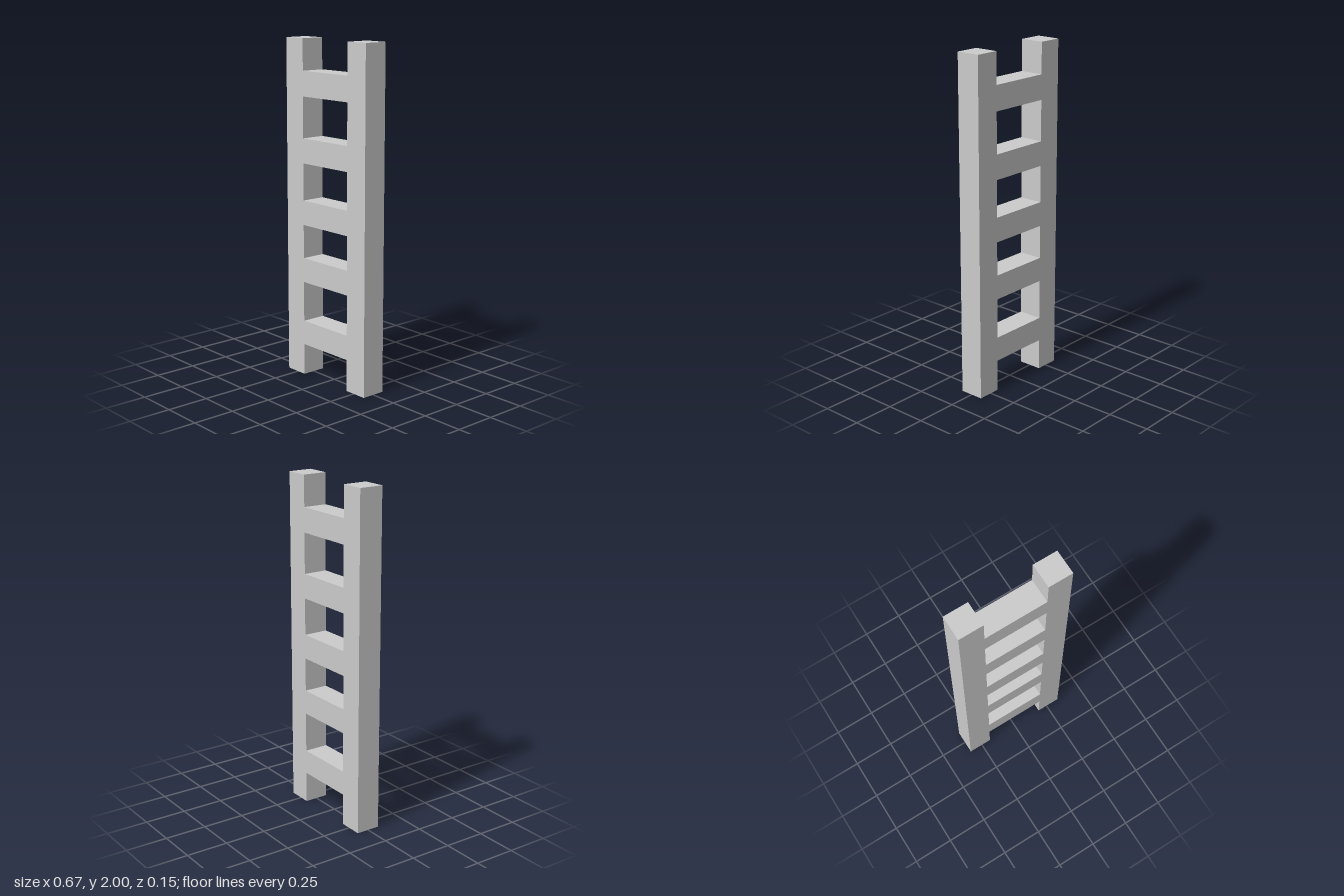
import * as THREE from 'three';

const THICK = 0.146;      // square section shared by rails and rungs
const HALF_WIDTH = 0.335;
const HEIGHT = 2;
const RUNG_HEIGHTS = [0.261, 0.646, 0.992, 1.357, 1.744];

export function createModel() {
  const ladder = new THREE.Group();
  ladder.name = 'ladder';
  const material = new THREE.MeshStandardMaterial({ color: 0xcccccc, flatShading: true });

  const addBeam = (name, width, height, x, y) => {
    const beam = new THREE.Mesh(new THREE.BoxGeometry(width, height, THICK), material);
    beam.name = name;
    beam.position.set(x, y, 0);
    ladder.add(beam);
  };

  // Upright rails
  const railX = HALF_WIDTH - THICK / 2;
  addBeam('leftRail', THICK, HEIGHT, railX, HEIGHT / 2);
  addBeam('rightRail', THICK, HEIGHT, -railX, HEIGHT / 2);

  // Rungs, flush with the rails and fitted between them
  const rungWidth = 2 * (HALF_WIDTH - THICK);
  RUNG_HEIGHTS.forEach((y, i) => addBeam(`rung${i + 1}`, rungWidth, THICK, 0, y));

  return ladder;
}
